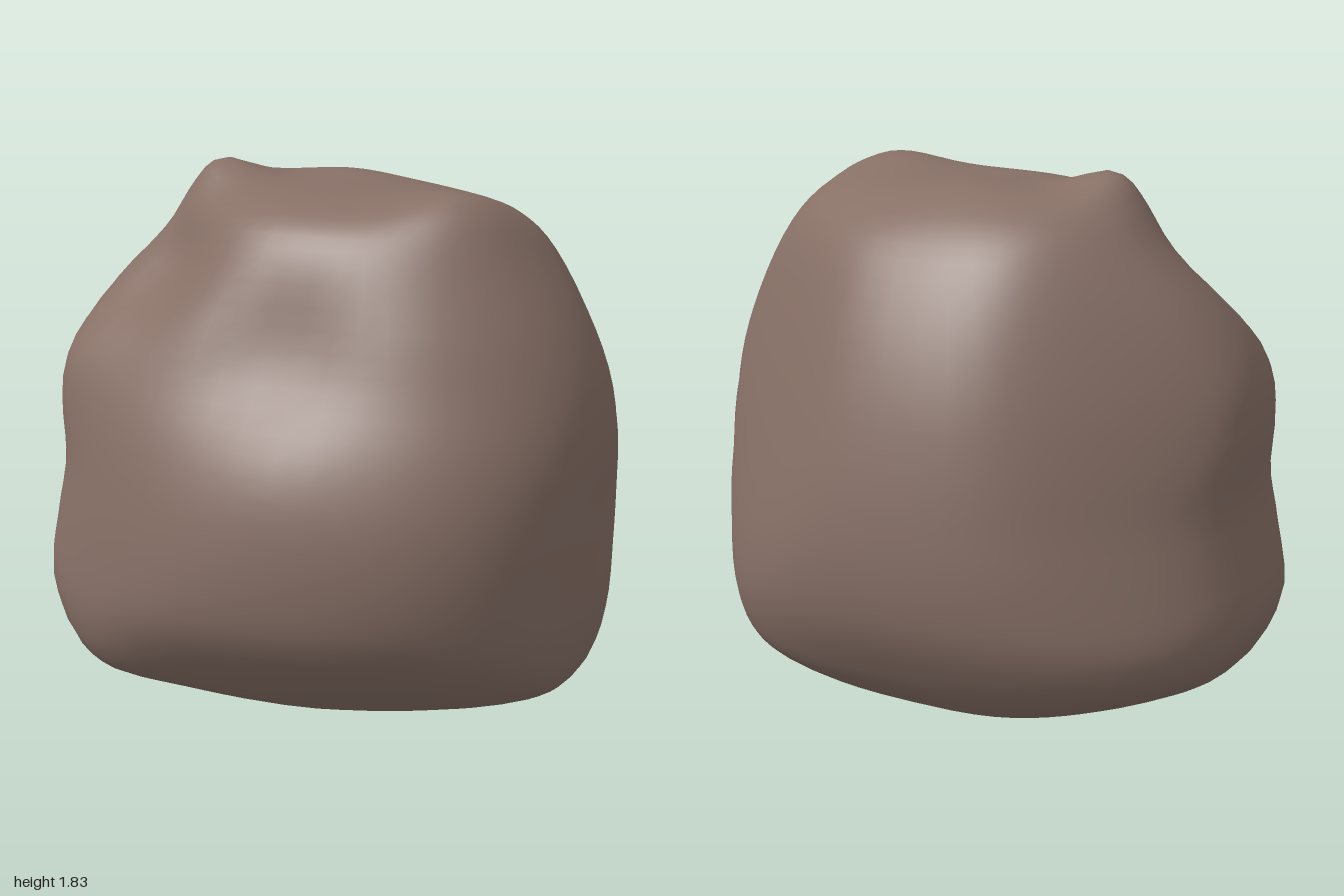
import * as THREE from 'three';
import { mergeVertices } from 'three/addons/utils/BufferGeometryUtils.js';

// Outline by height: y, xMin, xMax, zMin, zMax
const SECTIONS = [
  [0.005, 0.02, 0.02, -0.05, -0.05],
  [0.005, -0.32, 0.35, -0.28, 0.18],
  [0.03, -0.58, 0.64, -0.47, 0.4],
  [0.1, -0.77, 0.85, -0.59, 0.54],
  [0.2, -0.91, 0.93, -0.68, 0.65],
  [0.4, -1.0, 0.98, -0.79, 0.79],
  [0.6, -0.97, 0.99, -0.825, 0.83],
  [0.8, -0.935, 0.995, -0.82, 0.81],
  [1.0, -0.95, 1.0, -0.79, 0.74],
  [1.2, -0.92, 0.97, -0.74, 0.65],
  [1.4, -0.8, 0.89, -0.66, 0.58],
  [1.6, -0.62, 0.77, -0.54, 0.48],
  [1.71, -0.52, 0.68, -0.42, 0.38],
  [1.76, -0.42, 0.57, -0.28, 0.23],
  [1.772, -0.18, 0.28, -0.14, 0.06],
  [1.772, 0.04, 0.04, -0.05, -0.05],
];

// Bumps and hollows: centre, radius, push
const DENTS = [
  [[-0.42, 1.8, 0.02], 0.15, [0, 0.078, 0]], // left peak
  [[0.53, 1.78, 0.18], 0.19, [0.01, 0.05, 0.01]], // right peak
  [[-0.02, 1.78, -0.22], 0.18, [0, 0.02, 0]], // rear crest
  [[-0.28, 1.6, -0.42], 0.25, [-0.02, 0.01, -0.015]], // rear left shoulder
  [[-0.46, 1.52, 0.34], 0.24, [0, -0.07, -0.12]], // hollow under the left peak
  [[-0.74, 1.12, 0.36], 0.2, [-0.03, 0.02, 0.03]], // front left shoulder
  [[0.1, 1.32, 0.6], 0.24, [0, 0, -0.06]], // front hollow
  [[0.15, 1.0, 0.74], 0.24, [0, 0, 0.03]], // front swelling
  [[0.66, 1.0, 0.55], 0.45, [0.025, 0, 0.03]], // front right corner
  [[-0.6, 0.22, 0.45], 0.25, [-0.02, -0.04, 0.04]], // low front left lobe
].map(([c, r, p]) => ({ c: new THREE.Vector3(...c), r, p: new THREE.Vector3(...p) }));

// Softly flattened sides: plane normal, distance from origin, strength
const SOFTNESS = 0.035;
const CUTS = [
  [[0.3, -0.77, 0.56], 0.26, 0.7], // lower front right
  [[-0.4, -0.85, -0.35], 0.28, 0.8], // lower back left
  [[0.58, 0.26, -0.77], 1.0, 0.8], // back right
  [[0.3, 0.85, -0.4], 1.72, 0.8], // upper back right
  [[-0.68, 0.25, -0.68], 1.01, 0.7], // back left
  [[-0.42, 0.08, 0.91], 0.88, 0.8], // front left
].map(([n, d, k]) => ({ n: new THREE.Vector3(...n).normalize(), d, k }));

function shape(v) {
  const base = v.clone();
  for (const { c, r, p } of DENTS) {
    v.addScaledVector(p, Math.exp(-base.distanceToSquared(c) / (r * r)));
  }
  for (const { n, d, k } of CUTS) {
    const over = SOFTNESS * Math.log1p(Math.exp((v.dot(n) - d) / SOFTNESS));
    v.addScaledVector(n, -k * over);
  }
  return v;
}

function rockGeometry(rows = 48, cols = 56) {
  const low = new THREE.CatmullRomCurve3(
    SECTIONS.map(([y, x0, , z0]) => new THREE.Vector3(x0, y, z0)), false, 'catmullrom', 0.5);
  const high = new THREE.CatmullRomCurve3(
    SECTIONS.map(([y, , x1, , z1]) => new THREE.Vector3(x1, y, z1)), false, 'catmullrom', 0.5);
  const positions = [];
  const index = [];
  for (let i = 0; i <= rows; i++) {
    const a = low.getPoint(i / rows);
    const b = high.getPoint(i / rows);
    // Squarer outline near the base
    const power = 2 / (2.2 + 0.4 * THREE.MathUtils.smoothstep(0.5 - a.y, 0, 0.4));
    const rounded = (t) => Math.sign(t) * Math.abs(t) ** power;
    for (let j = 0; j < cols; j++) {
      const angle = (j / cols) * Math.PI * 2;
      const v = new THREE.Vector3(
        (a.x + b.x) / 2 + ((b.x - a.x) / 2) * rounded(Math.cos(angle)),
        a.y,
        (a.z + b.z) / 2 + ((b.z - a.z) / 2) * rounded(Math.sin(angle)));
      positions.push(...shape(v).toArray());
      if (i === rows) continue;
      const p = i * cols + j;
      const q = i * cols + ((j + 1) % cols);
      index.push(p, p + cols, q, q, p + cols, q + cols);
    }
  }
  let geometry = new THREE.BufferGeometry();
  geometry.setAttribute('position', new THREE.Float32BufferAttribute(positions, 3));
  geometry.setIndex(index);
  geometry = mergeVertices(geometry, 1e-4);
  geometry.computeBoundingBox();
  geometry.translate(0, -geometry.boundingBox.min.y, 0);
  geometry.computeVertexNormals();
  return geometry;
}

export function createModel() {
  const group = new THREE.Group();
  group.name = 'rock';
  const boulder = new THREE.Mesh(rockGeometry(), new THREE.MeshStandardMaterial({ color: 0x877066 }));
  boulder.name = 'boulder';
  group.add(boulder);
  return group;
}
